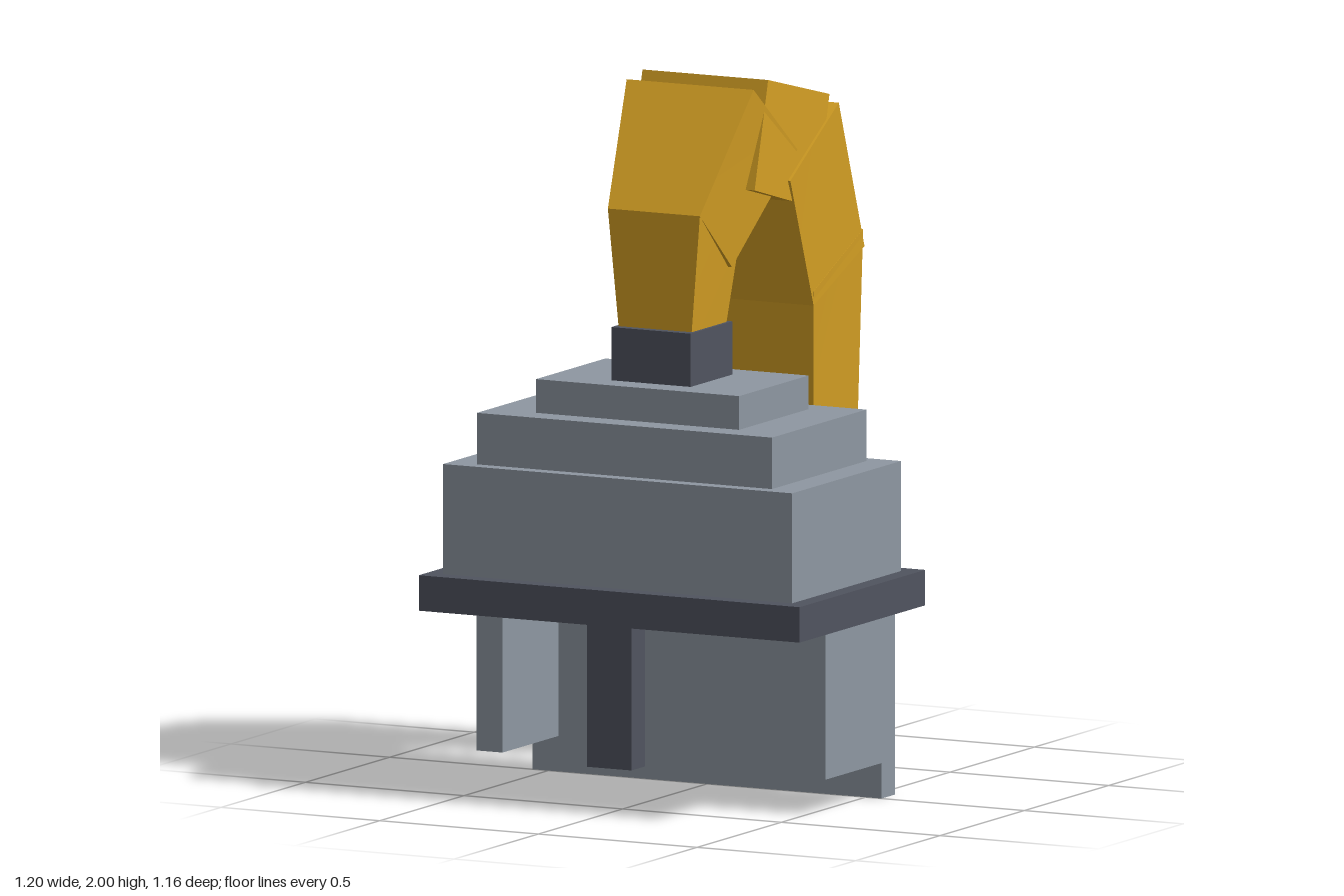
import * as THREE from 'three';

const steel = new THREE.MeshStandardMaterial({ name: 'grey steel', color: 0x8e97a1 });
const iron = new THREE.MeshStandardMaterial({ name: 'dark iron', color: 0x50545f });
const gold = new THREE.MeshStandardMaterial({ name: 'gold plume', color: 0xd49f24 });

// Box given by its limits on each axis
function block(name, material, [x0, x1], [y0, y1], [z0, z1]) {
  const mesh = new THREE.Mesh(new THREE.BoxGeometry(x1 - x0, y1 - y0, z1 - z0), material);
  mesh.position.set((x0 + x1) / 2, (y0 + y1) / 2, (z0 + z1) / 2);
  mesh.name = name;
  return mesh;
}

// Tapered block between two end edges; each end is { w: half width, out: [z, y], inn: [z, y] }
function taperedBlock(name, start, end) {
  const geo = new THREE.BoxGeometry(2, 2, 2);
  const p = geo.attributes.position;
  for (let i = 0; i < p.count; i++) {
    const e = p.getY(i) < 0 ? start : end;
    const [z, y] = p.getZ(i) > 0 ? e.out : e.inn;
    p.setXYZ(i, Math.sign(p.getX(i)) * e.w, y, z);
  }
  geo.computeVertexNormals();
  const mesh = new THREE.Mesh(geo, gold);
  mesh.name = name;
  return mesh;
}

export function createModel() {
  const model = new THREE.Group();
  model.name = 'plumedHelmet';

  // Stepped crown, brim and face guards
  const helmet = new THREE.Group();
  helmet.name = 'helmet';
  helmet.add(
    block('brim', iron, [-0.6, 0.6], [0.525, 0.625], [-0.165, 0.58]),
    block('crownLower', steel, [-0.55, 0.55], [0.625, 0.935], [-0.115, 0.53]),
    block('crownMiddle', steel, [-0.465, 0.465], [0.935, 1.08], [-0.07, 0.49]),
    block('crownTop', steel, [-0.32, 0.32], [1.08, 1.175], [0, 0.412]),
    block('plumeHolder', iron, [-0.125, 0.125], [1.175, 1.325], [0.085, 0.332]),
    block('noseGuard', iron, [-0.07, 0.07], [0.125, 0.525], [0.5, 0.58]),
    block('neckGuard', steel, [-0.55, 0.55], [0, 0.525], [-0.08, 0]),
    block('leftCheekGuard', steel, [0.468, 0.55], [0.1, 0.525], [0, 0.332]),
    block('rightCheekGuard', steel, [-0.55, -0.468], [0.1, 0.525], [0, 0.332])
  );

  // Plume: tapered segments curling up and over the back
  const plume = new THREE.Group();
  plume.name = 'plume';
  const segments = [
    [{ w: 0.113, out: [0.307, 1.3], inn: [0.105, 1.3] }, { w: 0.145, out: [0.315, 1.655], inn: [0.065, 1.6] }],
    [{ w: 0.145, out: [0.315, 1.655], inn: [0.125, 1.485] }, { w: 0.2, out: [0.1, 1.985], inn: [-0.16, 1.78] }],
    [{ w: 0.198, out: [0.01, 2], inn: [0.09, 1.7] }, { w: 0.2, out: [-0.35, 1.91], inn: [-0.27, 1.6] }],
    [{ w: 0.207, out: [-0.392, 1.88], inn: [-0.105, 1.7] }, { w: 0.195, out: [-0.567, 1.45], inn: [-0.265, 1.325] }],
    [{ w: 0.197, out: [-0.555, 1.5], inn: [-0.26, 1.365] }, { w: 0.167, out: [-0.578, 0.935], inn: [-0.318, 0.915] }],
    [{ w: 0.165, out: [-0.576, 0.94], inn: [-0.32, 0.918] }, { w: 0.102, out: [-0.56, 0.52], inn: [-0.375, 0.507] }],
    [{ w: 0.1, out: [-0.553, 0.52], inn: [-0.383, 0.507] }, { w: 0.06, out: [-0.527, 0.245], inn: [-0.43, 0.245] }]
  ];
  segments.forEach(([start, end], i) => plume.add(taperedBlock(`plumeSegment${i + 1}`, start, end)));

  model.add(helmet, plume);
  return model;
}
